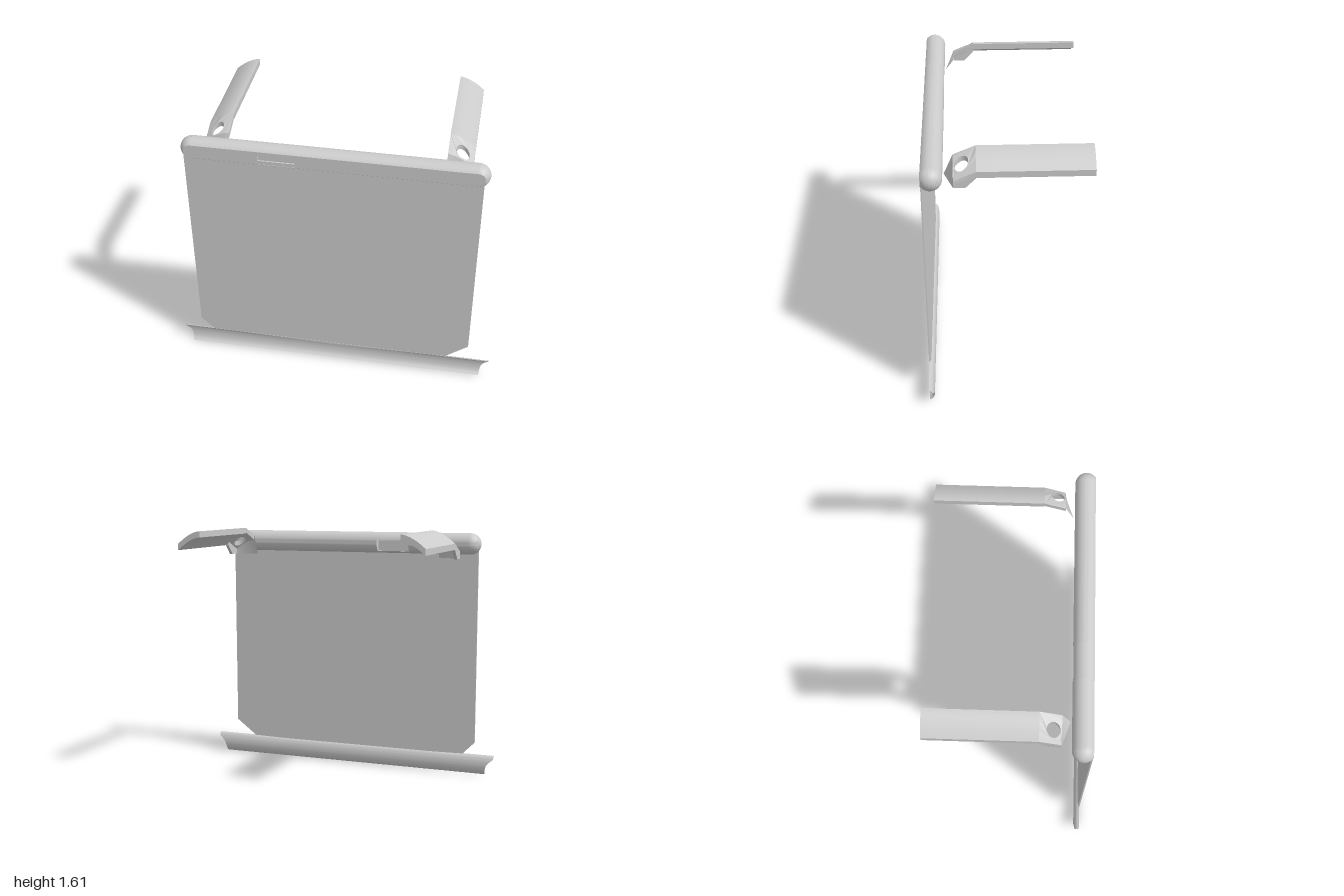
import * as THREE from 'three';
import { toCreasedNormals } from 'three/addons/utils/BufferGeometryUtils.js';

const material = new THREE.MeshStandardMaterial({ color: 0xcccccc, side: THREE.DoubleSide });

function part(name, geometry, crease = 0.6) {
  const mesh = new THREE.Mesh(toCreasedNormals(geometry, crease), material);
  mesh.name = name;
  return mesh;
}

const shapeOf = (points) => new THREE.Shape(points.map(([x, y]) => new THREE.Vector2(x, y)));
const extrude = (shape, depth) =>
  new THREE.ExtrudeGeometry(shape, { depth, bevelEnabled: false, curveSegments: 16 });

// Move every vertex by a rule
function reshape(geometry, rule) {
  const p = geometry.attributes.position;
  for (let i = 0; i < p.count; i++) p.setXYZ(i, ...rule(p.getX(i), p.getY(i), p.getZ(i)));
  return geometry;
}

// Top bar: a round rod with a flat front, domed ends and a small slot
function topBar() {
  const bar = new THREE.Group();
  bar.name = 'topBar';
  bar.position.set(0, 1.518, 0.426);
  const R = 0.068, CUT = 0.053, END = 0.828;
  const A = Math.acos(-CUT / R);
  const arc = (from, to, n) => Array.from({ length: n + 1 }, (_, i) => {
    const a = from + (to - from) * i / n;
    return [R * Math.cos(a), R * Math.sin(a)];
  });
  const segment = (name, points, x0, x1) => {
    const g = extrude(shapeOf(points), x1 - x0);
    g.rotateY(Math.PI / 2).translate(x0, 0, 0);
    bar.add(part(name, g));
  };
  const solid = arc(-A, A, 36);
  const slotted = [
    ...arc(-A, -Math.asin(0.054 / R), 8), [0.03, -0.054], [0.03, 0.016],
    ...arc(Math.asin(0.016 / R), A, 18),
    [-CUT, 0.016], [-0.033, 0.016], [-0.033, -0.04], [-CUT, -0.04],
  ];
  segment('barRight', solid, -END, -0.43);
  segment('barSlot', slotted, -0.43, -0.215);
  segment('barLeft', solid, -0.215, END);

  // Domes, turned about z and cut flat in front
  const profile = [];
  for (let i = 0; i <= 20; i++) {
    const a = Math.PI - (Math.PI - Math.acos(CUT / R)) * i / 20;
    profile.push(new THREE.Vector2(R * Math.sin(a), R * Math.cos(a)));
  }
  profile.push(new THREE.Vector2(0, CUT));
  for (const side of [1, -1]) {
    const g = new THREE.LatheGeometry(profile, 18, 0, Math.PI).rotateX(Math.PI / 2);
    if (side < 0) g.rotateZ(Math.PI);
    g.translate(side * END, 0, 0);
    bar.add(part(side > 0 ? 'barEndLeft' : 'barEndRight', g));
  }
  return bar;
}

// Thin sheet with clipped lower corners
function sheet() {
  const g = extrude(shapeOf([
    [-0.87, 1.5], [-0.87, 0.21], [-0.79, 0.13], [0, 0.115],
    [0.72, 0.13], [0.86, 0.235], [0.865, 1.5],
  ]), 0.008);
  return part('sheet', g.translate(0, 0, 0.469), 0.3);
}

// Bottom trough: open to the front, ends cut in a curve
function trough() {
  const ends = new THREE.SplineCurve([
    [0.94, 0], [0.945, 0.035], [0.952, 0.06], [0.97, 0.085], [0.997, 0.108], [1, 0.13],
  ].map(([x, y]) => new THREE.Vector2(x, y)));
  const rows = 16;
  const shell = (inset) => reshape(new THREE.PlaneGeometry(2, 1, 1, rows), (x, v) => {
    const end = ends.getPoint(v + 0.5);
    const s = Math.min(1, Math.max(-1, (end.y - 0.065) / 0.065));
    return [x * end.x, end.y, 0.48 - (0.034 - inset) * Math.sqrt(1 - s * s)];
  });
  const group = new THREE.Group();
  group.name = 'bottomTrough';
  group.add(part('troughOutside', shell(0), 1), part('troughInside', shell(0.004), 1));
  return group;
}

// Side arm: curved shell, then a sloping bracket with a hole and a foot
const IN = 0.64, OUT = 0.79, BEND = 0.175, FRONT = 0.302;
const across = (x) => (x - IN) / (OUT - IN);
const top = (x) => 1.61 - 0.08 * Math.pow(Math.max(0, across(x)), 1.7);
const slope = (x, z) => top(x) - 0.435 * (z - BEND);

function arm(side) {
  const group = new THREE.Group();
  group.name = side > 0 ? 'leftArm' : 'rightArm';
  const xs = Array.from({ length: 11 }, (_, i) => IN + (OUT - IN) * i / 10);
  const back = [...xs].reverse();
  const add = (name, g) => {
    if (side < 0) {
      // Mirror and restore the winding
      g = g.index ? g.toNonIndexed() : g;
      g.scale(-1, 1, 1);
      const p = g.attributes.position.array;
      for (let i = 0; i < p.length; i += 9)
        for (let k = 0; k < 3; k++) [p[i + 3 + k], p[i + 6 + k]] = [p[i + 6 + k], p[i + 3 + k]];
    }
    group.add(part(name, g));
  };

  const section = [...xs.map((x) => [x, top(x) - 0.038]), ...back.map((x) => [x, top(x)])];
  add('temple', extrude(shapeOf(section), BEND + 0.48).translate(0, 0, -0.48));

  const plan = shapeOf([...xs.map((x) => [x, BEND]), ...back.map((x) => [x, FRONT])]);
  const hole = new THREE.Path();
  hole.absarc(0.722, 0.255, 0.039, 0, Math.PI * 2, true);
  plan.holes.push(hole);
  add('bracket', reshape(extrude(plan, 0.03), (x, z, d) => [x, slope(x, z) - d, z]));

  add('footFront', reshape(new THREE.PlaneGeometry(1, 1, 10, 1), (u, v) => {
    const x = IN + (OUT - IN) * (u + 0.5);
    return v > 0 ? [x, slope(x, FRONT), FRONT] : [x, 1.43, 0.355 - 0.053 * across(x)];
  }));

  const wall = shapeOf([
    [-BEND, 1.53], [-BEND, 1.49], [-0.234, 1.43], [-FRONT, 1.43], [-FRONT, slope(OUT, FRONT)],
  ]);
  add('footSide', extrude(wall, 0.02).rotateY(Math.PI / 2).translate(OUT - 0.02, 0, 0));
  return group;
}

export function createModel() {
  const model = new THREE.Group();
  model.name = 'faceShield';
  model.add(topBar(), sheet(), trough(), arm(1), arm(-1));
  return model;
}
